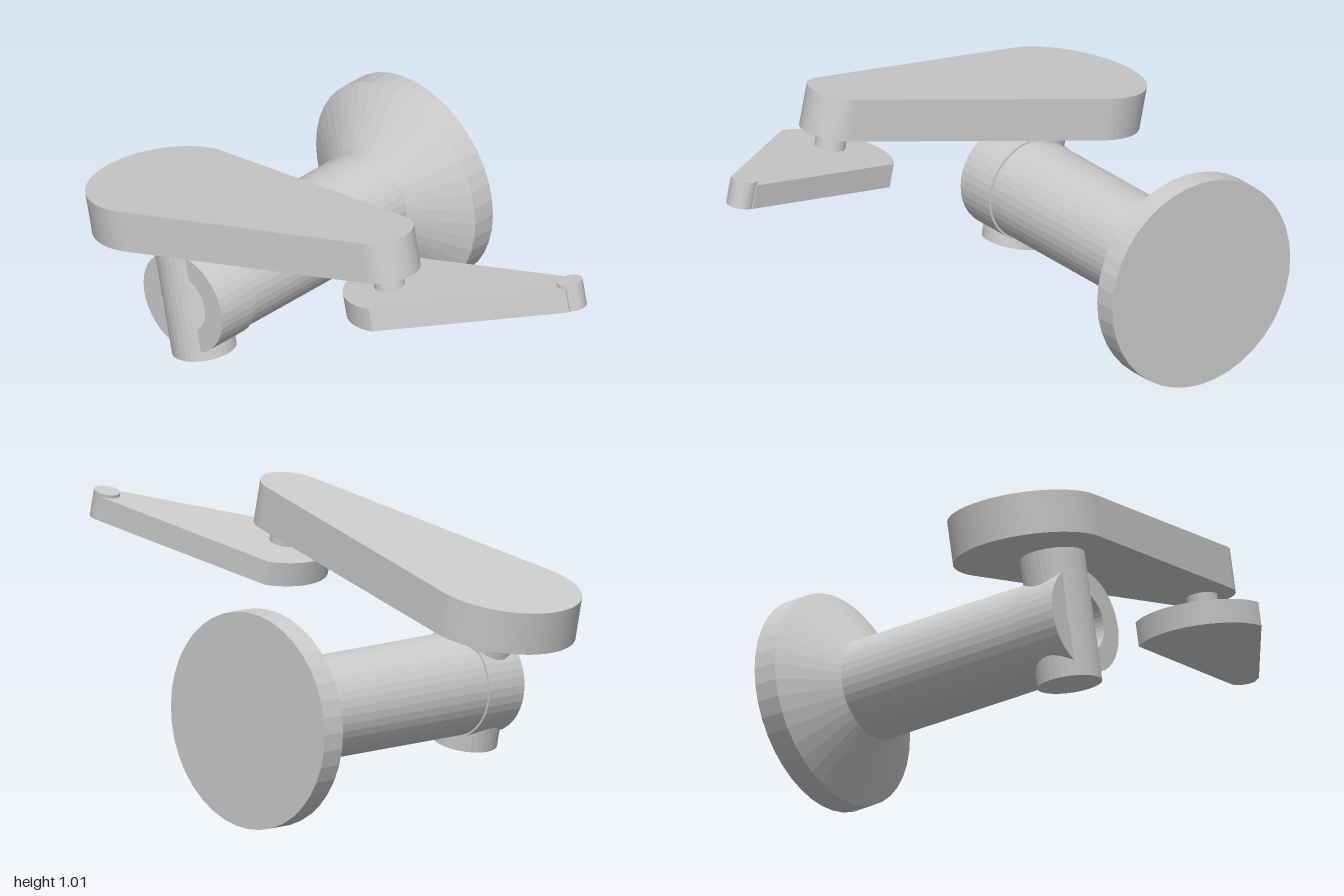
import * as THREE from 'three';

const material = new THREE.MeshStandardMaterial({ color: 0xcccccc, flatShading: true });

function addMesh(parent, name, geometry) {
  const mesh = new THREE.Mesh(geometry, material);
  mesh.name = name;
  parent.add(mesh);
  return mesh;
}

// Upright cylinder between two heights
function addPin(parent, name, x, z, radius, bottom, top) {
  const pin = addMesh(parent, name, new THREE.CylinderGeometry(radius, radius, top - bottom, 32));
  pin.position.set(x, (bottom + top) / 2, z);
}

// Flat plate with its outline in x and z, between two heights
function addPlate(parent, name, shape, bottom, top) {
  const geometry = new THREE.ExtrudeGeometry(shape, { depth: top - bottom, bevelEnabled: false, curveSegments: 20 });
  geometry.rotateX(Math.PI / 2).translate(0, top, 0);
  addMesh(parent, name, geometry);
}

export function createModel() {
  const model = new THREE.Group();
  model.name = 'jointedArm';

  // Wall flange, flared neck, shaft and bored head, turned about z
  const profile = [
    [0, -0.67], [0.387, -0.67], [0.387, -0.58], [0.183, -0.445],
    [0.183, 0.33], [0.191, 0.33], [0.191, 0.5], [0.108, 0.5], [0.108, 0.33], [0, 0.33],
  ].map(([r, z]) => new THREE.Vector2(r, z));
  const mount = addMesh(model, 'flangedShaft', new THREE.LatheGeometry(profile, 40).rotateX(Math.PI / 2));
  mount.position.set(-0.52, 0.388, 0);

  // Tilted assembly: local x runs along the arm, y = 0 is the arm's underside
  const arm = new THREE.Group();
  arm.name = 'tiltedArm';
  arm.position.set(-0.96, 0.55, 0);
  arm.rotation.z = 0.216;
  model.add(arm);

  addPin(arm, 'swivelPin', 0.37, 0.414, 0.115, -0.47, 0.01);

  // Main arm: two round ends joined by tangents
  const big = { x: 0.275, z: 0.39, r: 0.275 };
  const small = { x: 1.324, z: 0.355, r: 0.12 };
  const dx = small.x - big.x, dz = small.z - big.z;
  const heading = Math.atan2(dz, dx);
  const spread = Math.acos((big.r - small.r) / Math.hypot(dx, dz));
  const outline = new THREE.Shape();
  outline.absarc(big.x, big.z, big.r, heading + spread, heading - spread + Math.PI * 2, false);
  outline.absarc(small.x, small.z, small.r, heading - spread, heading + spread, false);
  outline.closePath();
  addPlate(arm, 'mainArm', outline, 0, 0.155);

  addPin(arm, 'linkPin', small.x, small.z, 0.055, -0.065, 0.01);

  // Tapered link with a bowed wide end
  const link = new THREE.Shape();
  link.absarc(1.371, 0.304, 0.236, 1.45, 3.846, false);
  link.lineTo(1.905, 0.013);
  link.lineTo(1.955, 0.105);
  link.closePath();
  addPlate(arm, 'taperedLink', link, -0.147, -0.06);

  addPin(arm, 'linkTip', 1.929, 0.057, 0.047, -0.147, -0.048);

  return model;
}
